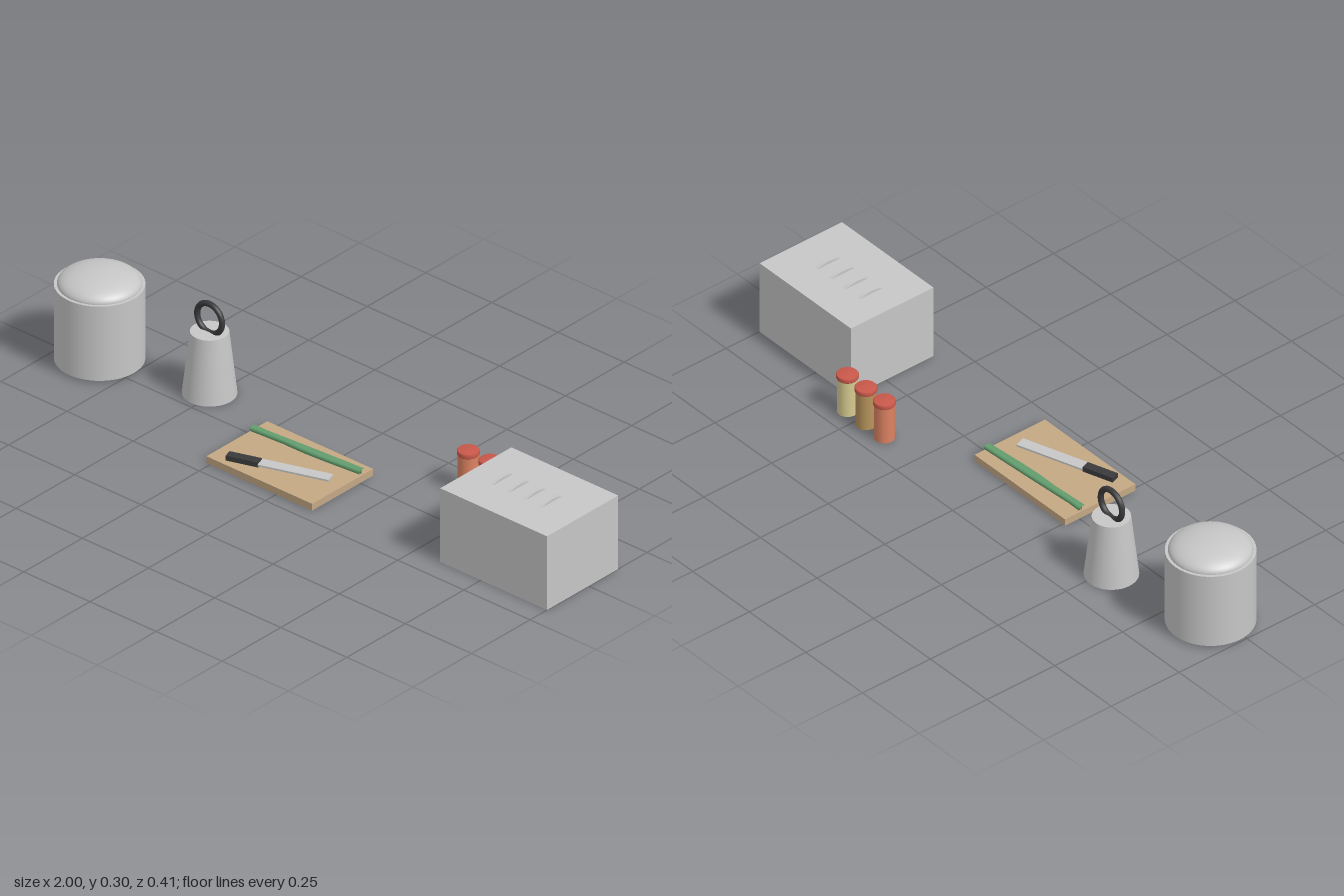
import * as THREE from 'three';

const paint = (name, color) => {
  const m = new THREE.MeshStandardMaterial({ color });
  m.name = name;
  return m;
};

export function createModel() {
  const model = new THREE.Group();
  model.name = 'kitchenCounterSet';

  const steel = paint('steel grey', 0xc6c6c6);
  const black = paint('handle black', 0x3a3a3c);
  const wood = paint('board wood', 0xc4a884);
  const green = paint('leaf green', 0x64a070);
  const red = paint('lid red', 0xc8584a);
  const spices = [
    paint('spice orange', 0xdc8262),
    paint('spice brown', 0xb8945c),
    paint('spice yellow', 0xd8cc90),
  ];

  const add = (name, geometry, material, x, y, z, parent = model) => {
    const mesh = new THREE.Mesh(geometry, material);
    mesh.name = name;
    mesh.position.set(x, y, z);
    parent.add(mesh);
    return mesh;
  };

  // Cooker: cylindrical pot with a shallow domed lid
  add('cookerBody', new THREE.CylinderGeometry(0.13, 0.13, 0.244, 48), steel, -0.87, 0.13, -0.025);
  const dome = new THREE.SphereGeometry(0.121, 48, 16, 0, Math.PI * 2, 0, Math.PI / 2);
  dome.scale(1, 0.043 / 0.121, 1);
  add('cookerLid', dome, steel, -0.87, 0.252, -0.025);

  // Kettle: tapered body with a ring handle sunk into its top
  add('kettleBody', new THREE.CylinderGeometry(0.056, 0.079, 0.203, 40), steel, -0.517, 0.1015, -0.096);
  add('kettleHandle', new THREE.TorusGeometry(0.047, 0.009, 12, 40), black, -0.517, 0.244, -0.096);

  // Cutting board
  add('cuttingBoard', new THREE.BoxGeometry(0.4, 0.022, 0.26), wood, -0.062, 0.013, 0.076);

  // Knife lying at a slant on the board
  const knife = new THREE.Group();
  knife.name = 'knife';
  knife.position.set(-0.115, 0.024, 0.143);
  knife.rotation.y = 0.32;
  model.add(knife);
  add('knifeHandle', new THREE.BoxGeometry(0.1, 0.016, 0.028), black, -0.05, 0.008, 0, knife);
  add('knifeBlade', new THREE.BoxGeometry(0.218, 0.006, 0.036), steel, 0.109, 0.009, 0, knife);

  // Spring onions: thin stalks crossing along the back of the board
  const stalks = [
    [0.016, 0.004, -0.012],
    [0.006, 0.009, -0.005],
    [0.01, -0.003, -0.014],
  ];
  stalks.forEach(([za, zb, zc], i) => {
    const path = new THREE.CatmullRomCurve3([
      new THREE.Vector3(-0.26, 0.032, za),
      new THREE.Vector3(-0.06, 0.033, zb),
      new THREE.Vector3(0.136, 0.034, zc),
    ]);
    add('springOnion' + (i + 1), new THREE.TubeGeometry(path, 20, 0.008, 8), green, 0, 0, 0);
  });

  // Spice jars with softly bevelled lids
  const lidProfile = [[0, 0.118], [0.031, 0.118], [0.0325, 0.12], [0.0325, 0.13], [0.03, 0.133], [0, 0.135]]
    .map(([r, y]) => new THREE.Vector2(r, y));
  spices.forEach((spice, i) => {
    const x = 0.39 + i * 0.0815;
    add('spiceJar' + (i + 1), new THREE.CylinderGeometry(0.03, 0.03, 0.12, 28), spice, x, 0.06, -0.176);
    add('jarLid' + (i + 1), new THREE.LatheGeometry(lidProfile, 28), red, x, 0, -0.176);
  });

  // Toaster: plain box with four curved slices just showing above the top
  add('toasterBody', new THREE.BoxGeometry(0.404, 0.242, 0.304), steel, 0.798, 0.121, 0.025);
  const slice = new THREE.CylinderGeometry(0.105, 0.105, 0.012, 64);
  slice.rotateZ(Math.PI / 2);
  for (let i = 0; i < 4; i++) {
    add('toasterSlice' + (i + 1), slice, steel, 0.692 + i * 0.062, 0.146, 0.024);
  }

  return model;
}
